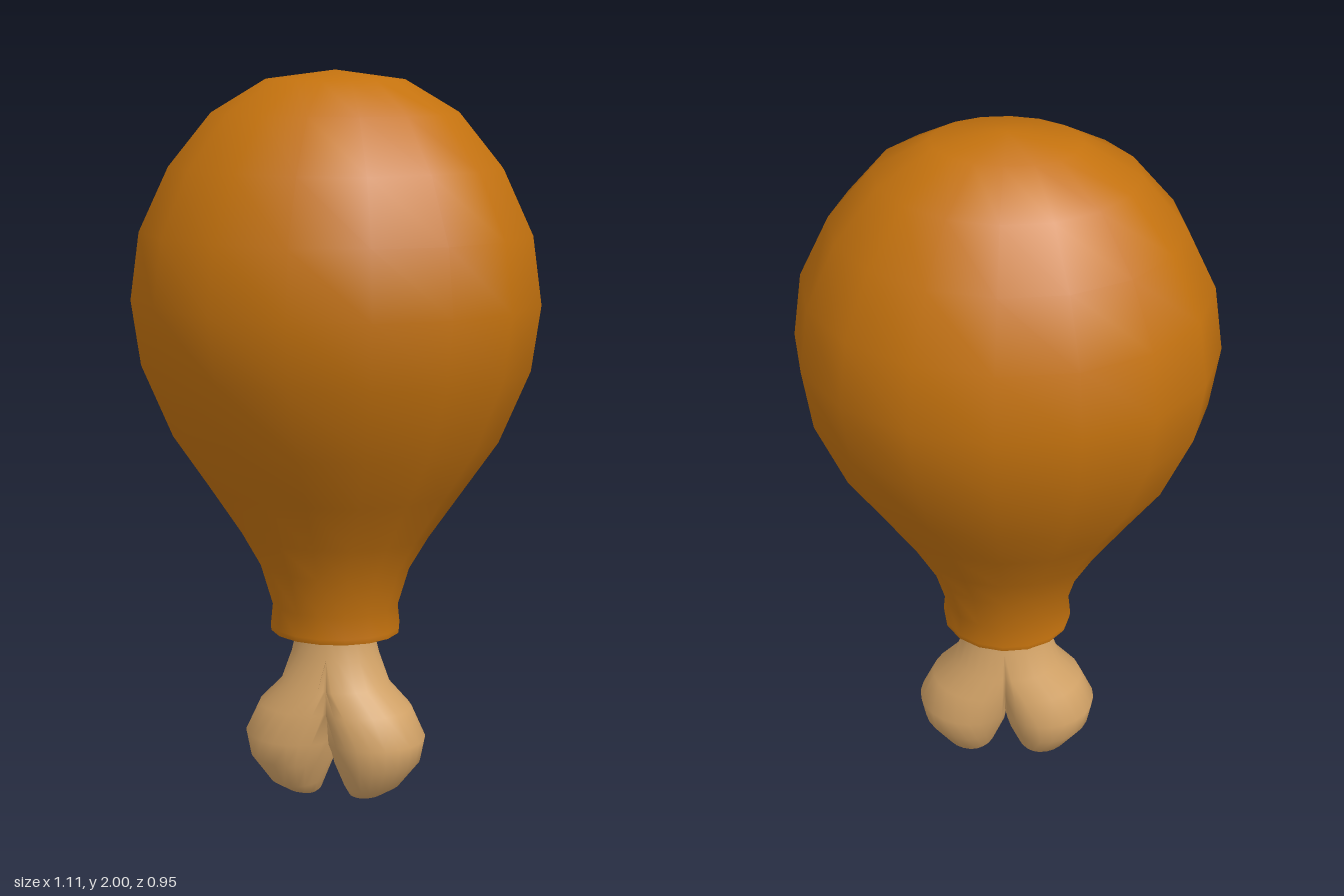
import * as THREE from 'three';
import { mergeVertices } from 'three/addons/utils/BufferGeometryUtils.js';

// Closed rings from y / half-width / half-depth rows, ordered upwards for outward faces
function ellipticLathe(rows, sides) {
  const geo = new THREE.LatheGeometry(rows.map(([y, x]) => new THREE.Vector2(x, y)), sides);
  const pos = geo.attributes.position;
  for (let i = 0; i < pos.count; i++) {
    const [, x, z] = rows[i % rows.length];
    if (x > 0) pos.setZ(i, pos.getZ(i) * z / x);
  }
  geo.deleteAttribute('uv');
  geo.deleteAttribute('normal');
  const merged = mergeVertices(geo, 1e-4);
  merged.computeVertexNormals();
  return merged;
}

// One half of the bone: rings of [y, centre x, outer x, inner radius, half-depth],
// cut flat at x = 0 so that two mirrored halves join and part into knuckles
function halfBone(rows, side) {
  const n = 24, verts = [], index = [];
  for (const [y, c, outer, inner, depth] of rows) {
    for (let j = 0; j < n; j++) {
      const a = j / n * Math.PI * 2, k = Math.cos(a);
      const x = Math.max(0, c + k * (k > 0 ? outer - c : inner));
      verts.push(side * (x < 1e-6 ? 0 : x), y, depth * Math.sin(a));
    }
  }
  const face = (a, b, c) => (side > 0 ? index.push(a, b, c) : index.push(a, c, b));
  for (let i = 0; i < rows.length - 1; i++) {
    for (let j = 0; j < n; j++) {
      const a = i * n + j, b = i * n + (j + 1) % n;
      face(a, b, a + n);
      face(b, b + n, a + n);
    }
  }
  // bottom cap
  const last = rows.length - 1, tip = verts.length / 3;
  verts.push(side * rows[last][1], rows[last][0] - 0.004, 0);
  for (let j = 0; j < n; j++) face(last * n + j, last * n + (j + 1) % n, tip);

  const geo = new THREE.BufferGeometry();
  geo.setAttribute('position', new THREE.Float32BufferAttribute(verts, 3));
  geo.setIndex(index);
  geo.computeVertexNormals();
  // smooth the join between the halves
  const pos = geo.attributes.position, nor = geo.attributes.normal;
  const v = new THREE.Vector3();
  for (let i = 0; i < pos.count; i++) {
    if (pos.getX(i) !== 0 || pos.getY(i) < 0.2) continue;
    v.set(0, nor.getY(i), nor.getZ(i));
    if (v.lengthSq() < 1e-4) v.set(0, 0, Math.sign(pos.getZ(i)) || 1);
    v.normalize();
    nor.setXYZ(i, v.x, v.y, v.z);
  }
  return geo;
}

export function createModel() {
  const group = new THREE.Group();
  const meatMat = new THREE.MeshStandardMaterial({ color: 0xc4720e });
  meatMat.name = 'roasted brown';
  const boneMat = new THREE.MeshStandardMaterial({ color: 0xd4a468 });
  boneMat.name = 'bone tan';

  // Meat: a plump, slightly flattened bulb narrowing to an open cuff
  const meat = new THREE.Mesh(ellipticLathe([
    [0.485, 0.178, 0.163], [0.5, 0.18, 0.166], [0.56, 0.174, 0.159],
    [0.67, 0.207, 0.187], [0.76, 0.26, 0.222], [0.89, 0.35, 0.288],
    [1.03, 0.447, 0.372], [1.225, 0.53, 0.45], [1.4, 0.555, 0.473],
    [1.58, 0.53, 0.45], [1.75, 0.45, 0.372], [1.89, 0.335, 0.268],
    [1.975, 0.19, 0.136], [2.0, 0, 0],
  ], 16), meatMat);
  meat.name = 'meat';

  // Inside of the cuff, listed downwards so its faces look inwards
  const cuff = new THREE.Mesh(ellipticLathe([
    [0.85, 0, 0], [0.82, 0.2, 0.18], [0.67, 0.185, 0.165],
    [0.56, 0.154, 0.139], [0.5, 0.158, 0.144], [0.485, 0.178, 0.163],
  ], 16), meatMat);
  cuff.name = 'cuffInside';
  group.add(meat, cuff);

  // Bone: a shaft that swells into two rounded knuckles
  const rows = [
    [0.78, 0, 0.1, 0, 0.082], [0.49, 0, 0.105, 0, 0.087],
    [0.42, 0, 0.122, 0, 0.1], [0.335, 0.02, 0.152, 0.06, 0.117],
    [0.27, 0.06, 0.214, 0.11, 0.135], [0.185, 0.1, 0.253, 0.13, 0.145],
    [0.12, 0.105, 0.24, 0.103, 0.136], [0.05, 0.1, 0.185, 0.07, 0.1],
    [0.018, 0.085, 0.135, 0.043, 0.055], [0.007, 0.08, 0.105, 0.025, 0.028],
    [0.004, 0.08, 0.09, 0.01, 0.01],
  ];
  for (const side of [1, -1]) {
    const bone = new THREE.Mesh(halfBone(rows, side), boneMat);
    bone.name = side > 0 ? 'boneLeft' : 'boneRight';
    group.add(bone);
  }
  return group;
}
